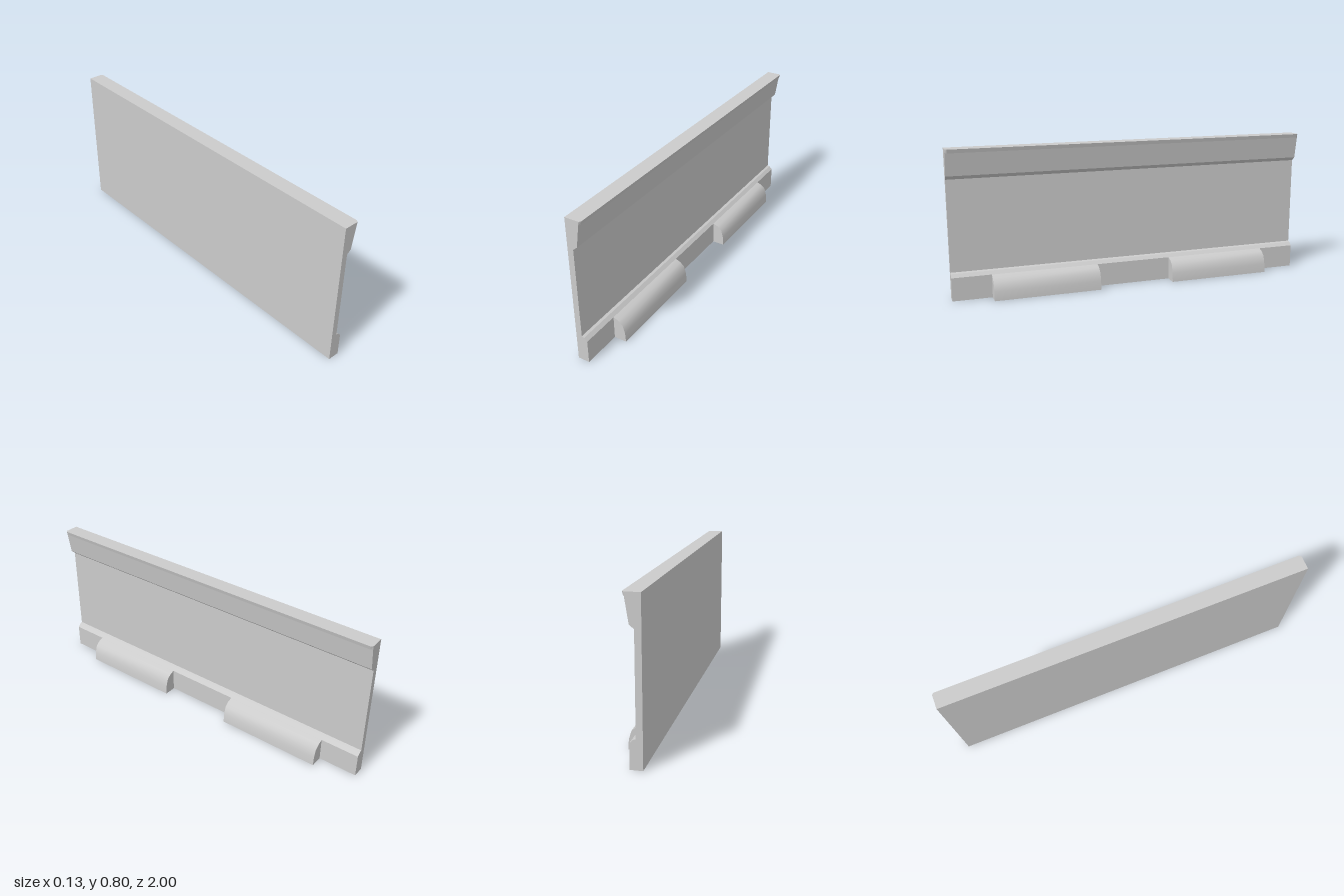
import * as THREE from 'three';
import { toCreasedNormals } from 'three/addons/utils/BufferGeometryUtils.js';

const material = new THREE.MeshStandardMaterial({ color: 0xcccccc });

// Extrude an x-y outline along z, between z0 and z1
function extrudeProfile(name, points, z0, z1, crease) {
  const shape = new THREE.Shape(points.map(([x, y]) => new THREE.Vector2(x, y)));
  const geometry = new THREE.ExtrudeGeometry(shape, { depth: z1 - z0, bevelEnabled: false });
  geometry.translate(0, 0, z0);
  const mesh = new THREE.Mesh(crease ? toCreasedNormals(geometry, crease) : geometry, material);
  mesh.name = name;
  return mesh;
}

// Thin strip along the top edge, leaning outwards with mitred ends
function createLip() {
  const geometry = new THREE.BoxGeometry(1, 1, 1);
  const p = geometry.attributes.position;
  for (let i = 0; i < p.count; i++) {
    const outer = p.getX(i) > 0;
    const top = p.getY(i) > 0;
    const x = outer ? (top ? 0.02 : 0.015) : (top ? 0.012 : 0.009);
    const y = top ? 0.8 : 0.78;
    p.setXYZ(i, x, y, Math.sign(p.getZ(i)) * (outer ? 0.99 : 1));
  }
  const mesh = new THREE.Mesh(geometry.toNonIndexed(), material);
  mesh.geometry.computeVertexNormals();
  mesh.name = 'topLip';
  return mesh;
}

export function createModel() {
  const group = new THREE.Group();
  group.name = 'wallPanel';

  // Panel with overhanging top rail and low base ledge
  group.add(extrudeProfile('panel', [
    [-0.065, 0], [-0.003, 0], [-0.003, 0.126], [-0.02, 0.143], [-0.033, 0.148],
    [-0.033, 0.64], [-0.01, 0.66], [0.012, 0.8], [-0.065, 0.8],
  ], -1, 1));

  group.add(createLip());

  // Two rounded bumpers along the base
  const bumper = [
    [-0.003, 0], [0.065, 0], [0.062, 0.05], [0.049, 0.094], [0.025, 0.115], [-0.003, 0.126],
  ];
  group.add(extrudeProfile('frontBumper', bumper, 0.21, 0.79, 0.7));
  group.add(extrudeProfile('backBumper', bumper, -0.79, -0.21, 0.7));

  return group;
}
